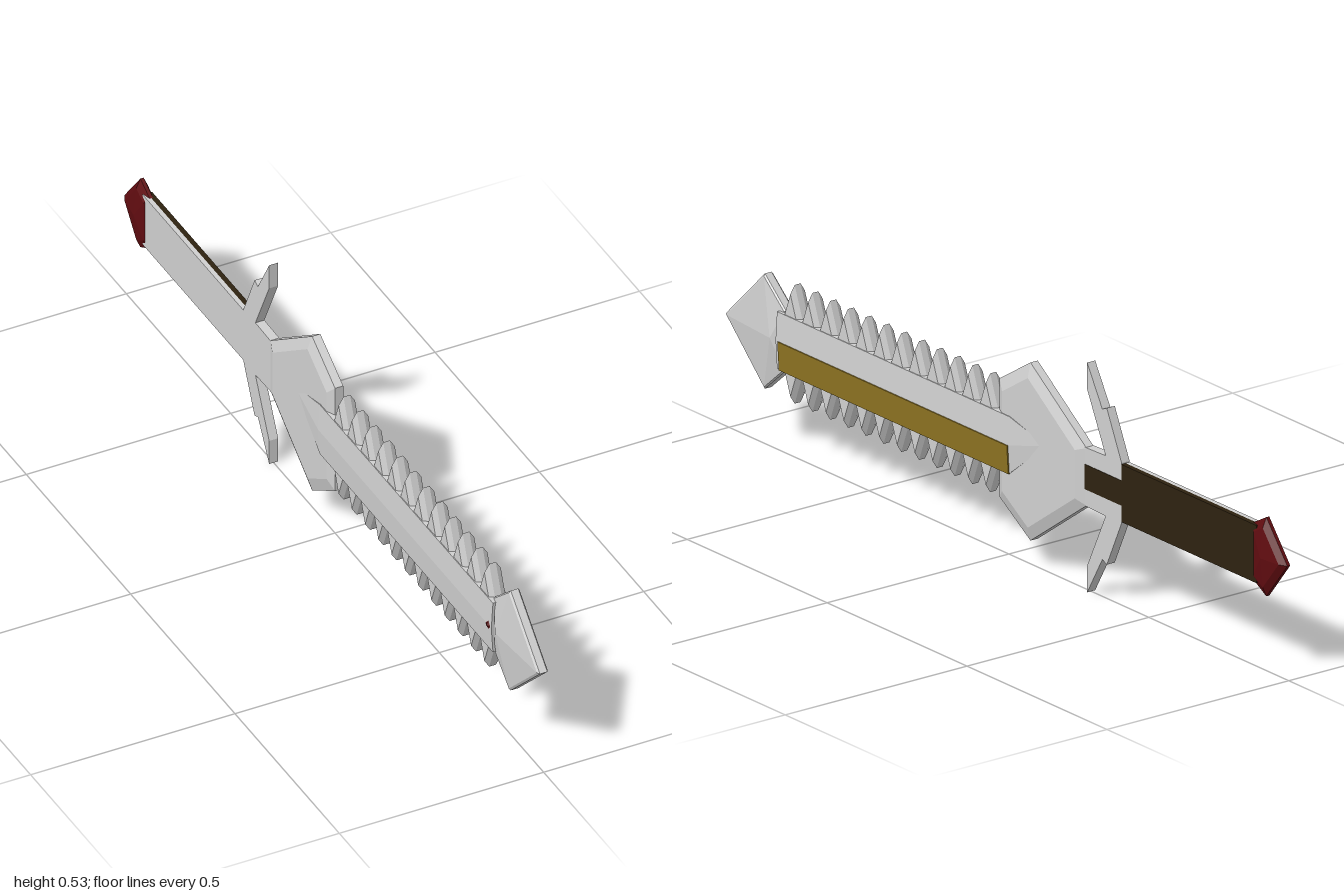
import * as THREE from 'three';
import { ConvexGeometry } from 'three/addons/geometries/ConvexGeometry.js';

const CY = 0.267; // height of the sword's long axis

const mat = (name, color) => {
  const m = new THREE.MeshStandardMaterial({ color, flatShading: true });
  m.name = name;
  return m;
};

// Closed outline from its lower half: [z, half height] listed from +z to -z
function symmetric(half) {
  const upper = half.filter(p => p[1] > 0).reverse();
  return [...half.map(([z, h]) => [z, -h]), ...upper];
}

// Bevelled plate: the [z, y] outline is repeated at each [x, scale] ring, shrunk
// about the centre, and both sides close on a centre point at x = +-apex
function plateGeometry(outline, centre, rings, apex) {
  const pos = [];
  const n = outline.length;
  const at = ([x, s], i) => {
    const [z, y] = outline[i % n];
    return [x, centre[1] + (y - centre[1]) * s, centre[0] + (z - centre[0]) * s];
  };
  const all = [...rings.map(([x, s]) => [-x, s]).reverse(), ...rings];
  const last = all[all.length - 1];
  for (let i = 0; i < n; i++) {
    for (let r = 0; r < all.length - 1; r++) {
      const a = at(all[r], i), b = at(all[r], i + 1);
      const c = at(all[r + 1], i + 1), d = at(all[r + 1], i);
      pos.push(...a, ...b, ...c, ...a, ...c, ...d);
    }
    pos.push(apex, centre[1], centre[0], ...at(last, i), ...at(last, i + 1));
    pos.push(-apex, centre[1], centre[0], ...at(all[0], i + 1), ...at(all[0], i));
  }
  const g = new THREE.BufferGeometry();
  g.setAttribute('position', new THREE.Float32BufferAttribute(pos, 3));
  g.computeVertexNormals();
  return g;
}

export function createModel() {
  const steel = mat('steel', 0xd0d0d0);
  const gold = mat('gold', 0x8e7422);
  const brown = mat('darkBrown', 0x2e2210);
  const red = mat('darkRed', 0x600c10);

  const sword = new THREE.Group();
  sword.name = 'sword';
  const axis = new THREE.Group(); // everything is built around y = 0
  axis.name = 'swordParts';
  axis.position.y = CY;
  sword.add(axis);

  const add = (name, geometry, material) => {
    const mesh = new THREE.Mesh(geometry, material);
    mesh.name = name;
    axis.add(mesh);
    return mesh;
  };
  const box = (name, x0, x1, h, z0, z1, material) =>
    add(name, new THREE.BoxGeometry(x1 - x0, h * 2, z1 - z0), material)
      .position.set((x0 + x1) / 2, 0, (z0 + z1) / 2);
  const hull = (name, pts, material) =>
    add(name, new ConvexGeometry(pts.map(p => new THREE.Vector3(...p))), material);

  // Blade core: shallow ridge on both sides, running out to a wedge on the guard
  const core = [];
  for (const side of [-1, 1]) {
    for (const z of [0.8, -0.03]) {
      core.push([side * 0.026, 0, z], [side * 0.022, 0.066, z], [side * 0.022, -0.066, z]);
    }
    core.push([side * 0.019, 0.035, -0.16]);
  }
  hull('bladeCore', core, steel);

  // Gold strip on the lower half of the left face
  const strip = [];
  for (const z of [0.79, -0.03]) {
    strip.push([0.029, 0, z], [0.025, -0.067, z], [0.022, 0, z], [0.018, -0.067, z]);
  }
  hull('goldStrip', strip, gold);

  // Saw teeth along both edges
  const pitch = 0.0635;
  for (let i = 0; i < 12; i++) {
    const z = 0.755 - i * pitch, w = pitch / 2;
    for (const side of [-1, 1]) {
      const tooth = [[z + w, 0.055], [z - w, 0.055], [z, 0.138]].map(([a, b]) => [a, b * side]);
      if (side < 0) tooth.reverse();
      add(side > 0 ? 'upperTooth' : 'lowerTooth',
        plateGeometry(tooth, [z, 0.07 * side], [[0.008, 1], [0.02, 0.72]], 0.02), steel);
    }
  }

  // Arrow-shaped tip
  add('bladeTip', plateGeometry(
    symmetric([[1, 0], [0.86, 0.134], [0.785, 0.07]]),
    [0.82, 0], [[0.009, 1], [0.013, 0.96]], 0.027), steel);

  // Hexagonal guard plate with bevelled rim
  add('guardPlate', plateGeometry(
    symmetric([[0.02, 0.138], [-0.09, 0.207], [-0.29, 0.067]]),
    [-0.11, 0], [[0.01, 1], [0.02, 0.84]], 0.0205), steel);

  // Swept prongs above and below the neck
  const prong = [[0.285, 0.028], [0.417, 0.028], [0.417, 0.07], [0.364, 0.182],
    [0.348, 0.175], [0.294, 0.267], [0.294, 0.205], [0.36, 0.07], [0.285, 0.068]];
  for (const side of [-1, 1]) {
    const shape = new THREE.Shape(prong.map(([u, y]) => new THREE.Vector2(u, y * side)));
    const g = new THREE.ExtrudeGeometry(shape, { depth: 0.022, bevelEnabled: false });
    g.translate(0, 0, -0.011).rotateY(Math.PI / 2);
    add(side > 0 ? 'upperProng' : 'lowerProng', g, steel);
  }

  // Neck and grip: brown on the left half, steel on the right half
  box('neckLeft', 0, 0.012, 0.029, -0.42, -0.285, brown);
  box('neckRight', -0.011, 0, 0.029, -0.42, -0.285, steel);
  box('gripLeft', 0, 0.012, 0.067, -0.9, -0.417, brown);
  box('gripRight', -0.011, 0, 0.067, -0.9, -0.417, steel);

  // Pointed pommel
  add('pommel', plateGeometry(
    symmetric([[-0.88, 0.067], [-0.925, 0.092], [-1, 0]]),
    [-0.925, 0], [[0.004, 1], [0.014, 0.75]], 0.021), red);

  // Small red stud near the tip on the right face
  const stud = add('stud', new THREE.OctahedronGeometry(0.014), red);
  stud.scale.x = 0.5;
  stud.position.set(-0.024, 0, 0.785);

  return sword;
}
